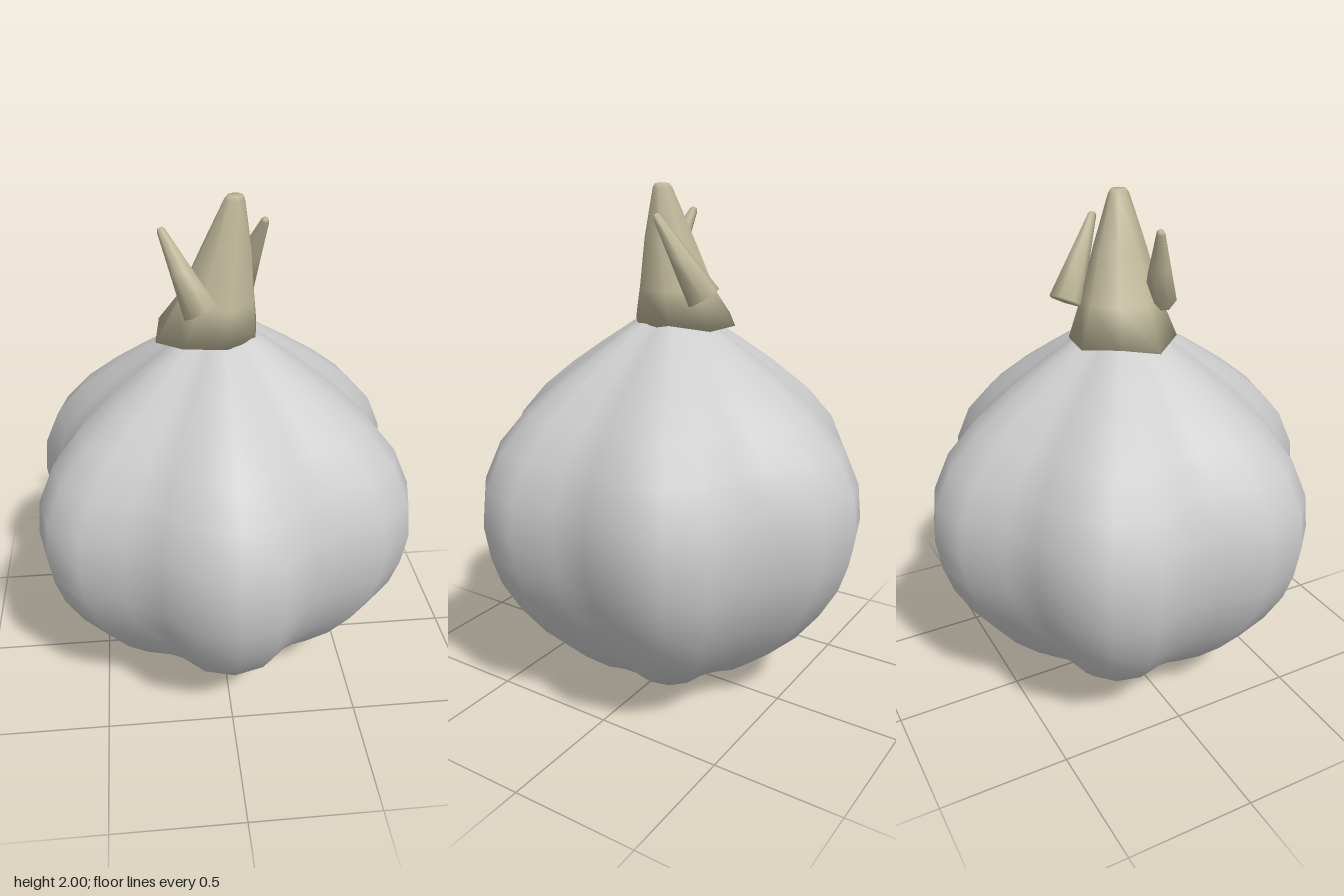
import * as THREE from 'three';
import { mergeVertices } from 'three/addons/utils/BufferGeometryUtils.js';

const skin = new THREE.MeshStandardMaterial({ color: 0xcccccc, side: THREE.DoubleSide });
const stalk = new THREE.MeshStandardMaterial({ color: 0xbdb698, side: THREE.DoubleSide });

// Turned solid from [radius, height] pairs, reshaped by a rule, with smooth normals
function turned(profile, sides, phase, reshape) {
  const geo = new THREE.LatheGeometry(profile.map(([r, y]) => new THREE.Vector2(r, y)), sides, phase);
  geo.deleteAttribute('uv');
  geo.deleteAttribute('normal');
  const pos = geo.attributes.position;
  const v = new THREE.Vector3();
  for (let i = 0; i < pos.count && reshape; i++) {
    reshape(v.fromBufferAttribute(pos, i));
    pos.setXYZ(i, v.x, v.y, v.z);
  }
  const merged = mergeVertices(geo, 1e-4);
  merged.computeVertexNormals();
  return merged;
}

function addMesh(group, name, geo, material) {
  const mesh = new THREE.Mesh(geo, material);
  mesh.name = name;
  group.add(mesh);
  return mesh;
}

export function createModel() {
  const group = new THREE.Group();
  group.name = 'garlicBulb';

  // Bulb: six lobes pressed into a round body
  const bulbProfile = [
    [0, 0.005], [0.1, 0.015], [0.22, 0.05], [0.35, 0.115], [0.46, 0.2], [0.565, 0.3], [0.66, 0.425],
    [0.73, 0.55], [0.765, 0.66], [0.785, 0.79], [0.77, 0.925], [0.705, 1.065], [0.59, 1.19],
    [0.45, 1.3], [0.31, 1.395], [0.17, 1.485], [0.08, 1.52], [0, 1.53],
  ];
  addMesh(group, 'bulb', turned(bulbProfile, 30, 0, (v) => {
    const lobe = 0.8 + 0.2 * Math.abs(Math.cos(3 * Math.atan2(v.x, v.z)));
    v.x *= lobe;
    v.z *= lobe;
  }), skin);

  // Neck: flared, leaning cone with a slightly wavy lower rim
  const neckProfile = [[0, 1.49], [0.2, 1.485], [0.148, 1.62], [0.098, 1.8], [0.038, 1.985], [0.028, 2], [0, 2]];
  addMesh(group, 'neck', turned(neckProfile, 8, 0.26, (v) => {
    const t = (v.y - 1.485) / 0.515;
    const lean = Math.pow(Math.max(t, 0), 0.75);
    if (t < 0.005 && Math.hypot(v.x, v.z) > 0.1) v.y += 0.018 * Math.sin(3 * Math.atan2(v.x, v.z) + 2);
    v.x += -0.05 + 0.1 * lean;
    v.z += -0.02 + 0.037 * lean;
  }), stalk);

  // Dry leaf tips: small tapered spikes beside the neck
  const tips = [
    { name: 'leftLeafTip', base: [-0.08, 1.615, 0.115], end: [-0.213, 1.9, 0.04] },
    { name: 'rightLeafTip', base: [0.085, 1.605, -0.185], end: [0.165, 1.9, -0.03] },
  ];
  for (const { name, base, end } of tips) {
    const from = new THREE.Vector3(...base);
    const axis = new THREE.Vector3(...end).sub(from);
    const h = axis.length();
    const profile = [[0, 0], [0.066, 0], [0.04, h * 0.5], [0.016, h * 0.97], [0.01, h], [0, h]];
    const mesh = addMesh(group, name, turned(profile, 7, 0.3), stalk);
    mesh.position.copy(from);
    mesh.quaternion.setFromUnitVectors(new THREE.Vector3(0, 1, 0), axis.normalize());
  }
  return group;
}
